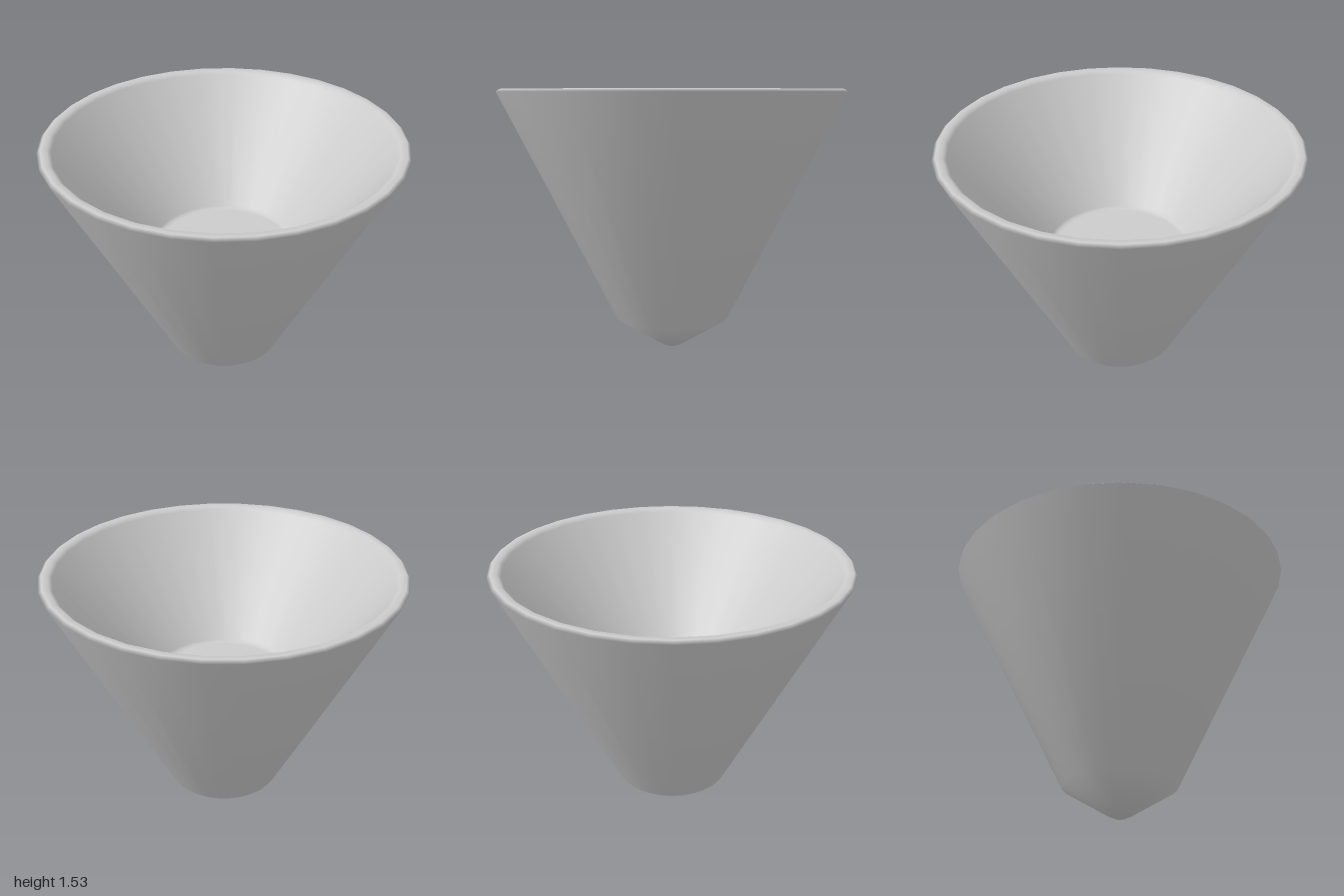
import * as THREE from 'three';

export function createModel() {
  const group = new THREE.Group();
  const material = new THREE.MeshStandardMaterial({ color: 0xcccccc });

  // Closed profile: rounded tip, underside cone, outer wall, rim, inner wall, floor
  const profile = [
    [0, 0], [0.035, 0.004], [0.075, 0.023],
    [0.333, 0.185],
    [1, 1.515], [0.982, 1.53],
    [0.945, 1.527], [0.925, 1.51],
    [0.415, 0.855], [0.4, 0.843], [0.38, 0.84], [0, 0.84],
  ].map(([r, y]) => new THREE.Vector2(r, y));

  const cup = new THREE.Mesh(new THREE.LatheGeometry(profile, 32), material);
  cup.name = 'taperedCup';
  group.add(cup);
  return group;
}
